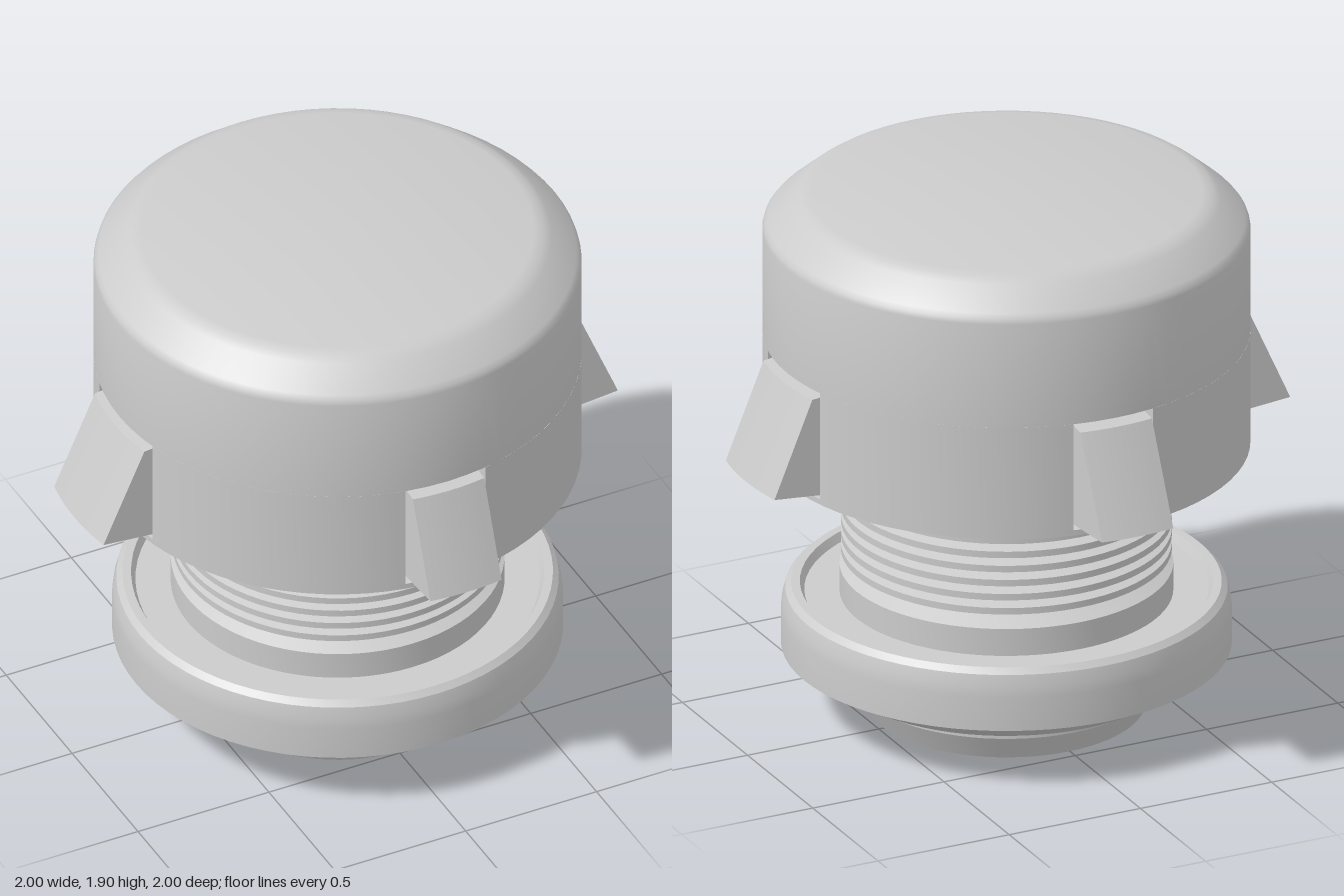
import * as THREE from 'three';
import { toCreasedNormals } from 'three/addons/utils/BufferGeometryUtils.js';

const R = 0.833, INNER = 0.75;          // housing wall radii
const SLOT_LOW = 0.99, SLOT_TOP = 1.385;

export function createModel() {
  const model = new THREE.Group();
  const body = new THREE.Group();
  body.name = 'plug';
  body.position.set(0.006, 0, 0.016);
  model.add(body);
  const material = new THREE.MeshStandardMaterial({ color: 0xcccccc, side: THREE.DoubleSide });

  const add = (name, geometry, crease = 0.45) => {
    const mesh = new THREE.Mesh(toCreasedNormals(geometry, crease), material);
    mesh.name = name;
    body.add(mesh);
    return mesh;
  };
  const lathe = (name, points) =>
    add(name, new THREE.LatheGeometry(points.map(([x, y]) => new THREE.Vector2(x, y)), 72));

  // Cap with a sloped, softened shoulder
  lathe('cap', [
    [INNER, SLOT_TOP], [R, SLOT_TOP], [R, 1.77], [0.828, 1.787], [0.815, 1.803],
    [0.73, 1.875], [0.705, 1.892], [0.67, 1.9], [0, 1.9],
  ]);

  // Inner drum behind the slots, lower rim and shallow underside recess
  lathe('innerDrum', [[INNER, SLOT_LOW], [INNER, SLOT_TOP]]);
  lathe('lowerRim', [
    [0.45, 1.035], [0.745, 1.035], [0.745, 0.97], [R, 0.97], [R, SLOT_LOW], [INNER, SLOT_LOW],
  ]);

  // Wall quarters between the straight-sided slots
  const sideHalf = 0.2, frontHalf = 0.152;
  for (let i = 0; i < 4; i++) {
    const start = i % 2 ? frontHalf : sideHalf, end = i % 2 ? sideHalf : frontHalf;
    const base = i * Math.PI / 2, next = base + Math.PI / 2;
    const shape = new THREE.Shape();
    shape.absarc(0, 0, R, base + Math.asin(start / R), next - Math.asin(end / R), false);
    shape.absarc(0, 0, INNER, next - Math.asin(end / INNER), base + Math.asin(start / INNER), true);
    const wall = new THREE.ExtrudeGeometry(shape, {
      depth: SLOT_TOP - SLOT_LOW, bevelEnabled: false, curveSegments: 16,
    });
    wall.rotateX(-Math.PI / 2);
    wall.translate(0, SLOT_LOW, 0);
    add('housingWall', wall);
  }

  // Wedge catches: a box bent round the axis, its outer face flaring downwards
  const catchWedge = (name, half, reach, angle) => {
    const g = new THREE.BoxGeometry(1, 1, 2 * half, 1, 1, 10);
    const p = g.attributes.position;
    for (let i = 0; i < p.count; i++) {
      const outer = p.getX(i) > 0, top = p.getY(i) > 0, z = p.getZ(i);
      const r = outer ? (top ? 0.853 : reach) : 0.745;
      const y = top ? (outer ? 1.36 : 1.372) : (outer ? 1.015 : 0.992);
      p.setXYZ(i, Math.sqrt(r * r - z * z), y, z);
    }
    g.rotateY(angle);
    add(name, g);
  };
  catchWedge('leftCatch', 0.187, 0.994, 0);
  catchWedge('backCatch', 0.136, 1.016, Math.PI / 2);
  catchWedge('rightCatch', 0.187, 1.006, Math.PI);
  catchWedge('frontCatch', 0.136, 0.984, -Math.PI / 2);

  // Threaded stem: a base collar and seven ridges
  const stem = [[0.57, 0.42], [0.57, 0.52], [0.505, 0.55]];
  for (let i = 0; i < 7; i++) {
    const y = 0.57 + i * 0.0525;
    stem.push([0.505, y - 0.006], [0.565, y + 0.002], [0.565, y + 0.026], [0.505, y + 0.042]);
  }
  stem.push([0.495, 0.945], [0.495, 1.035]);
  lathe('threadedStem', stem);

  // Flange with a shallow dish on top and a groove round the neck below
  lathe('flange', [
    [0.52, 0.25], [0.6, 0.25], [0.6, 0.135], [0.77, 0.228], [0.77, 0.35], [0.766, 0.39],
    [0.755, 0.43], [0.735, 0.45], [0.705, 0.45], [0.69, 0.42], [0.55, 0.42],
  ]);

  // Tapered neck with a blind bore
  lathe('neck', [
    [0, 0.33], [0.47, 0.33], [0.47, 0], [0.475, 0], [0.523, 0.09], [0.523, 0.25],
  ]);

  return model;
}
